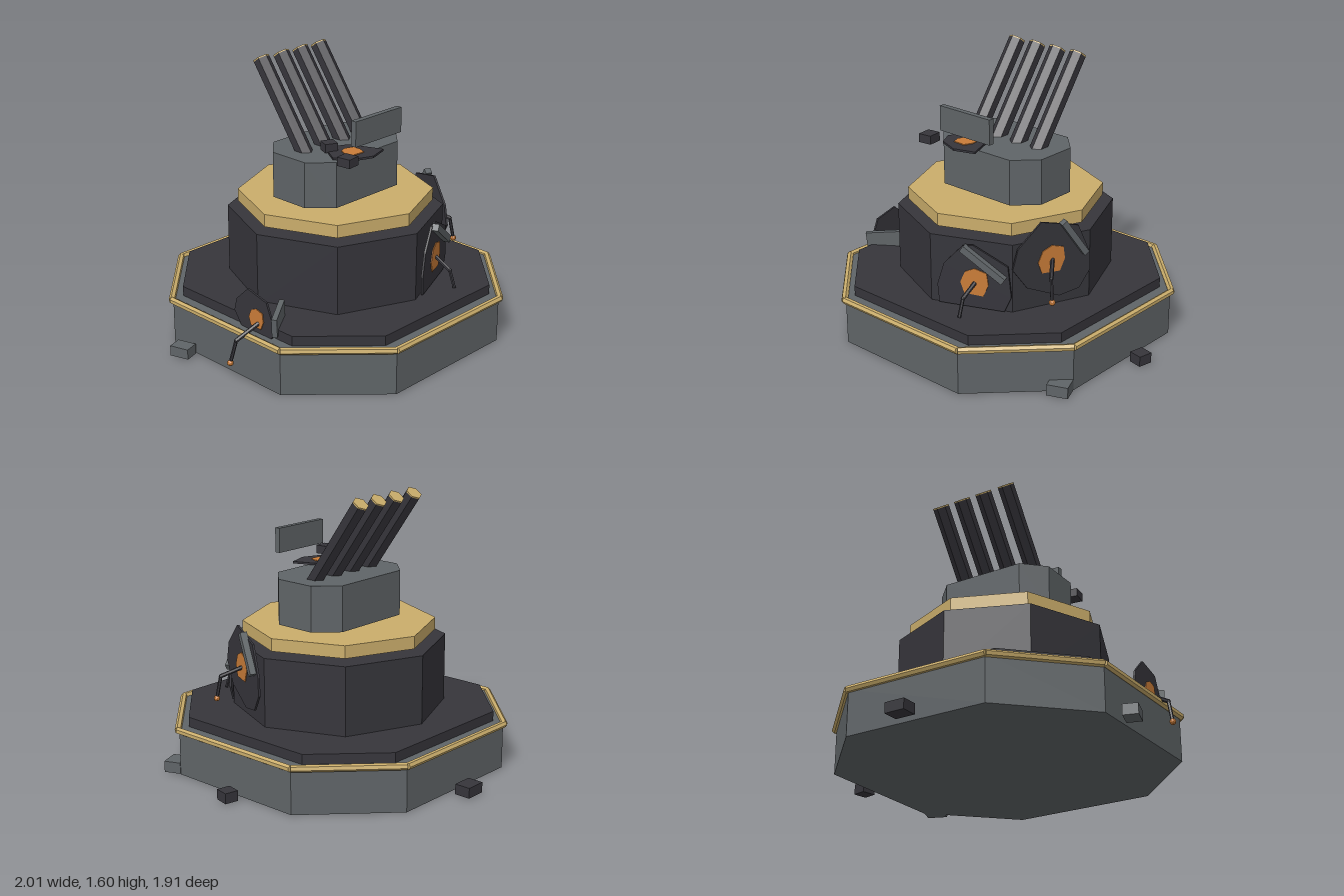
import * as THREE from 'three';

const mat = (name, color) => {
  const m = new THREE.MeshStandardMaterial({ color });
  m.name = name;
  return m;
};

export function createModel() {
  const grey = mat('steel grey', 0x5f6467);
  const dark = mat('dark iron', 0x36353b);
  const gold = mat('brass', 0xcaad6b);
  const orange = mat('rust orange', 0xc97c38);

  const root = new THREE.Group();
  root.name = 'gunTower';
  const CX = -0.01, CZ = 0.055;

  function add(name, geo, material, pos = [0, 0, 0], rot = [0, 0, 0], parent = root) {
    const flat = geo.index ? geo.toNonIndexed() : geo;
    flat.computeVertexNormals();
    const m = new THREE.Mesh(flat, material);
    m.name = name;
    m.position.set(...pos);
    m.rotation.set(...rot);
    parent.add(m);
    return m;
  }
  const box = (name, size, material, pos, rot, parent) =>
    add(name, new THREE.BoxGeometry(...size), material, pos, rot, parent);

  // Straight rod between two points
  function rod(name, a, b, r, material, sides = 6) {
    const p = new THREE.Vector3(...a), q = new THREE.Vector3(...b);
    const d = q.clone().sub(p);
    const m = add(name, new THREE.CylinderGeometry(r, r, d.length(), sides), material);
    m.position.copy(p).add(q).multiplyScalar(0.5);
    m.quaternion.setFromUnitVectors(new THREE.Vector3(0, 1, 0), d.normalize());
    return m;
  }

  // Corners of a rectangle with chamfered corners
  const chamfered = (hx, hz, sx, sz) => [
    [hx, -sz], [hx, sz], [sx, hz], [-sx, hz], [-hx, sz], [-hx, -sz], [-sx, -hz], [sx, -hz],
  ];
  const slab = (points, depth) => new THREE.ExtrudeGeometry(
    new THREE.Shape(points.map(p => new THREE.Vector2(...p))), { depth, bevelEnabled: false });
  function block(name, points, y0, y1, material) {
    add(name, slab(points, y1 - y0), material, [CX, y0, CZ], [-Math.PI / 2, 0, 0]);
  }

  // Stacked tiers
  block('base', chamfered(0.87, 0.87, 0.435, 0.435), 0, 0.265, grey);
  block('deck', chamfered(0.79, 0.795, 0.443, 0.443), 0.265, 0.322, dark);
  block('turret', chamfered(0.372, 0.248, 0.25, 0.124), 0.84, 1.105, grey);
  add('drum', new THREE.CylinderGeometry(0.62, 0.62, 0.42, 8), dark, [CX, 0.512, CZ]);
  add('brassCollar', new THREE.CylinderGeometry(0.56, 0.56, 0.073, 8), gold, [CX, 0.786, CZ]);

  // Brass rail around the base
  const rail = chamfered(0.875, 0.875, 0.44, 0.44).map(([x, z]) => [CX + x, 0.265, CZ + z]);
  rail.forEach((p, i) => rod('baseRail', p, rail[(i + 1) % 8], 0.02, gold));

  // Four raised barrels with brass muzzles
  for (const x of [-0.24, -0.085, 0.065, 0.215]) {
    const g = new THREE.Group();
    g.name = 'barrel';
    g.position.set(x, 1.573, -0.304);
    g.rotation.x = -0.62;
    add('barrelTube', new THREE.CylinderGeometry(0.048, 0.048, 0.66, 6), dark, [0, -0.338, 0], [0, 0, 0], g);
    add('muzzleCap', new THREE.CylinderGeometry(0.048, 0.048, 0.008, 6), gold, [0, -0.004, 0], [0, 0, 0], g);
    root.add(g);
  }

  // Torn plates with a rusty patch
  const torn = [[-0.083, 0.237], [0.143, 0.18], [0.216, 0.007], [0.22, -0.1], [0.154, -0.2],
    [0.03, -0.222], [-0.167, -0.136], [-0.254, -0.013], [-0.222, 0.104]];
  const tornLow = [[-0.21, -0.08], [-0.17, 0.05], [-0.06, 0.17], [0, 0.18], [0.2, 0.08],
    [0.22, -0.1], [0.18, -0.19], [-0.2, -0.19]];
  const tornFlat = [[-0.08, 0.11], [0, 0.135], [0.08, 0.095], [0.155, -0.095], [0.03, -0.135],
    [-0.1, -0.085], [-0.145, 0.005]];
  const patch = [[0, 0.08], [0.07, 0.06], [0.08, -0.01], [0.05, -0.08], [-0.06, -0.075],
    [-0.083, -0.01], [-0.055, 0.055]];
  function wreck(name, outline, pos, rot, scale, patchAt, patchScale) {
    const g = new THREE.Group();
    g.name = name;
    g.position.set(...pos);
    g.rotation.set(...rot);
    const size = (pts, s) => pts.map(p => [p[0] * s, p[1] * s]);
    add('tornPlate', slab(size(outline, scale), 0.012), dark, [0, 0, -0.006], [0, 0, 0], g);
    add('rustPatch', slab(size(patch, patchScale), 0.006), orange, [...patchAt, 0.005], [0, 0, 0], g);
    root.add(g);
    return g;
  }
  const sidePlate = wreck('sideWreck', torn, [0.544, 0.6, 0.28], [0, Math.PI * 0.375, 0], 1, [-0.02, 0.012], 1);
  box('sideBeam', [0.25, 0.035, 0.04], grey, [0.11, 0.12, 0.022], [0, 0, -0.97], sidePlate);
  const frontPlate = wreck('frontWreck', tornLow, [0.235, 0.52, 0.595], [0, Math.PI / 8, 0], 1, [0.01, -0.035], 1);
  box('frontBeam', [0.29, 0.04, 0.04], grey, [0.065, 0.085, 0.022], [0, 0, -0.6], frontPlate);
  wreck('deckWreck', torn, [-0.815, 0.35, 0.235], [0, -Math.PI / 2, 0], 0.64, [0.015, 0], 0.7);
  wreck('turretWreck', tornFlat, [-0.11, 1.118, 0.275], [-Math.PI / 2, 0, 0], 1, [0, 0], 0.72);
  box('deckSlab', [0.21, 0.11, 0.03], grey, [-0.746, 0.352, 0.34], [0, 0.6, 0.1]);
  box('turretSlab', [0.37, 0.145, 0.033], grey, [-0.015, 1.27, 0.372]);

  // Bent pipes hanging from the patches
  function pipe(a, b, c, tip) {
    rod('pipeArm', a, b, 0.012, dark);
    rod('pipeEnd', b, c, 0.01, dark);
    add('pipeElbow', new THREE.IcosahedronGeometry(0.013, 0), dark, b);
    if (tip) add('pipeTip', new THREE.IcosahedronGeometry(0.018, 1), orange, c);
  }
  pipe([0.54, 0.61, 0.29], [0.62, 0.55, 0.395], [0.64, 0.42, 0.41], true);
  pipe([0.25, 0.48, 0.6], [0.255, 0.425, 0.7], [0.258, 0.325, 0.735], false);
  pipe([-0.82, 0.325, 0.265], [-0.945, 0.25, 0.22], [-0.973, 0.12, 0.2], true);

  // Loose rubble
  const rubble = [
    [0.08, 0.05, 0.085, dark, -0.275, 1.143, 0.4, 0.12],
    [0.075, 0.05, 0.075, dark, -0.17, 1.143, 0.16, -0.4],
    [0.12, 0.06, 0.095, dark, 0.005, 0.035, -0.912, 0],
    [0.08, 0.06, 0.085, dark, 0.95, 0.035, 0.01, -0.2],
    [0.085, 0.06, 0.115, grey, -0.95, 0.035, -0.225, 0.3],
    [0.12, 0.065, 0.1, grey, 0.825, 0.035, 0.56, 0.38],
  ];
  for (const [w, h, d, m, x, y, z, turn] of rubble) box('rubble', [w, h, d], m, [x, y, z], [0, turn, 0]);

  return root;
}
